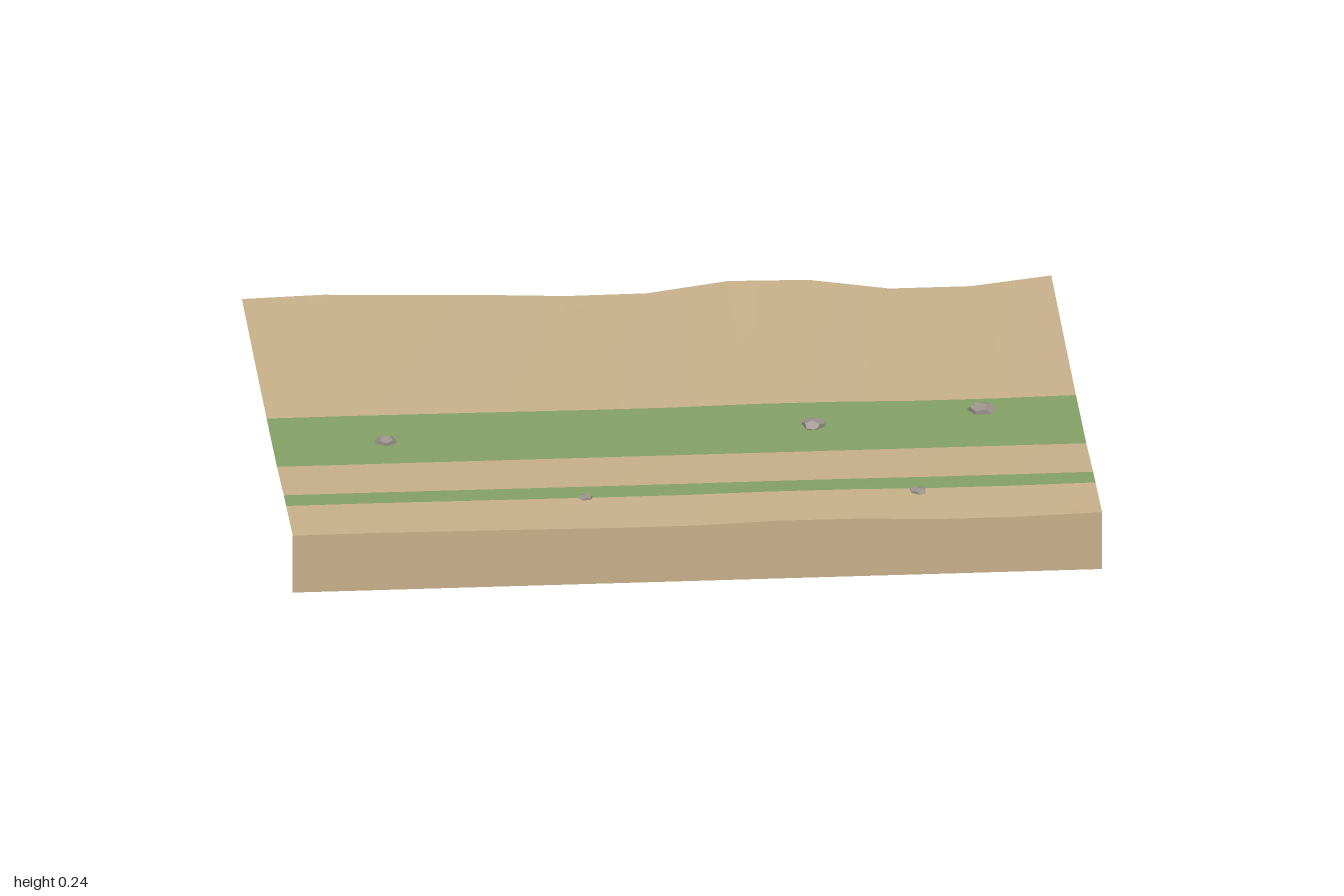
import * as THREE from 'three';

// Rolling back-edge profile, sampled every 0.2 along x
const RIDGE = [0.23, 0.235, 0.228, 0.222, 0.213, 0.214, 0.24, 0.237, 0.208, 0.208, 0.23];
// Cross-section rows: z, mean height, how strongly the ridge shows
const ROWS = [
  [-0.74, 0.222, 1], [-0.38, 0.199, 0.5], [-0.02, 0.178, 0.12],
  [0.28, 0.162, 0], [0.48, 0.16, 0.03], [0.55, 0.157, 0.1], [0.74, 0.147, 0.25],
];

const heightInRow = (row, i) => row[1] + row[2] * (RIDGE[i] - 0.222);

// Height of the ground at any point
function groundHeight(x, z) {
  let k = 0;
  while (k < ROWS.length - 2 && z > ROWS[k + 1][0]) k++;
  const f = (x + 1) / 0.2;
  const i = Math.min(9, Math.floor(f));
  const at = (row) => THREE.MathUtils.lerp(heightInRow(row, i), heightInRow(row, i + 1), f - i);
  const t = (z - ROWS[k][0]) / (ROWS[k + 1][0] - ROWS[k][0]);
  return THREE.MathUtils.lerp(at(ROWS[k]), at(ROWS[k + 1]), t);
}

// Sheet lofted through rows of points, each row running from -x to +x
function loft(rows) {
  const pos = rows.flat(2);
  const n = RIDGE.length;
  const index = [];
  for (let r = 0; r < rows.length - 1; r++) {
    for (let i = 0; i < n - 1; i++) {
      const a = r * n + i;
      const b = a + n;
      index.push(a, b, a + 1, b, b + 1, a + 1);
    }
  }
  const g = new THREE.BufferGeometry();
  g.setAttribute('position', new THREE.Float32BufferAttribute(pos, 3));
  g.setIndex(index);
  g.computeVertexNormals();
  return g;
}

export function createModel() {
  const group = new THREE.Group();
  const material = (name, color, side = THREE.FrontSide) => {
    const m = new THREE.MeshStandardMaterial({ color, side });
    m.name = name;
    return m;
  };
  const sand = material('sand', 0xc8b08a, THREE.DoubleSide);
  const grass = material('grass', 0x84a066, THREE.DoubleSide);
  const stone = material('stone', 0x9a918a);
  stone.flatShading = true;

  const add = (name, geometry, mat) => {
    const mesh = new THREE.Mesh(geometry, mat);
    mesh.name = name;
    group.add(mesh);
    return mesh;
  };
  const rowPoints = (row) => RIDGE.map((_, i) => [-1 + i * 0.2, heightInRow(row, i), row[0]]);

  // Ground strips from back to front
  const strips = [
    ['backSlope', 0, 2, sand], ['wideGrassBand', 2, 3, grass], ['path', 3, 4, sand],
    ['narrowGrassBand', 4, 5, grass], ['frontVerge', 5, 6, sand],
  ];
  for (const [name, from, to, mat] of strips) {
    add(name, loft(ROWS.slice(from, to + 1).map(rowPoints)), mat);
  }

  // Vertical bank below the front edge
  const edge = rowPoints(ROWS[6]);
  add('frontBank', loft([edge, edge.map(([x, , z]) => [x, 0, z])]), sand);

  // Flattened stones: x, z, radius
  const stones = [
    [-0.72, 0.145, 0.029], [0.34, 0.12, 0.032], [0.76, 0.05, 0.036],
    [-0.26, 0.55, 0.019], [0.56, 0.57, 0.023],
  ];
  stones.forEach(([x, z, r], i) => {
    const rock = add('stone' + (i + 1), new THREE.DodecahedronGeometry(r, 0), stone);
    rock.scale.y = 0.55;
    rock.rotation.y = i * 1.3;
    rock.position.set(x, groundHeight(x, z), z);
  });
  return group;
}
